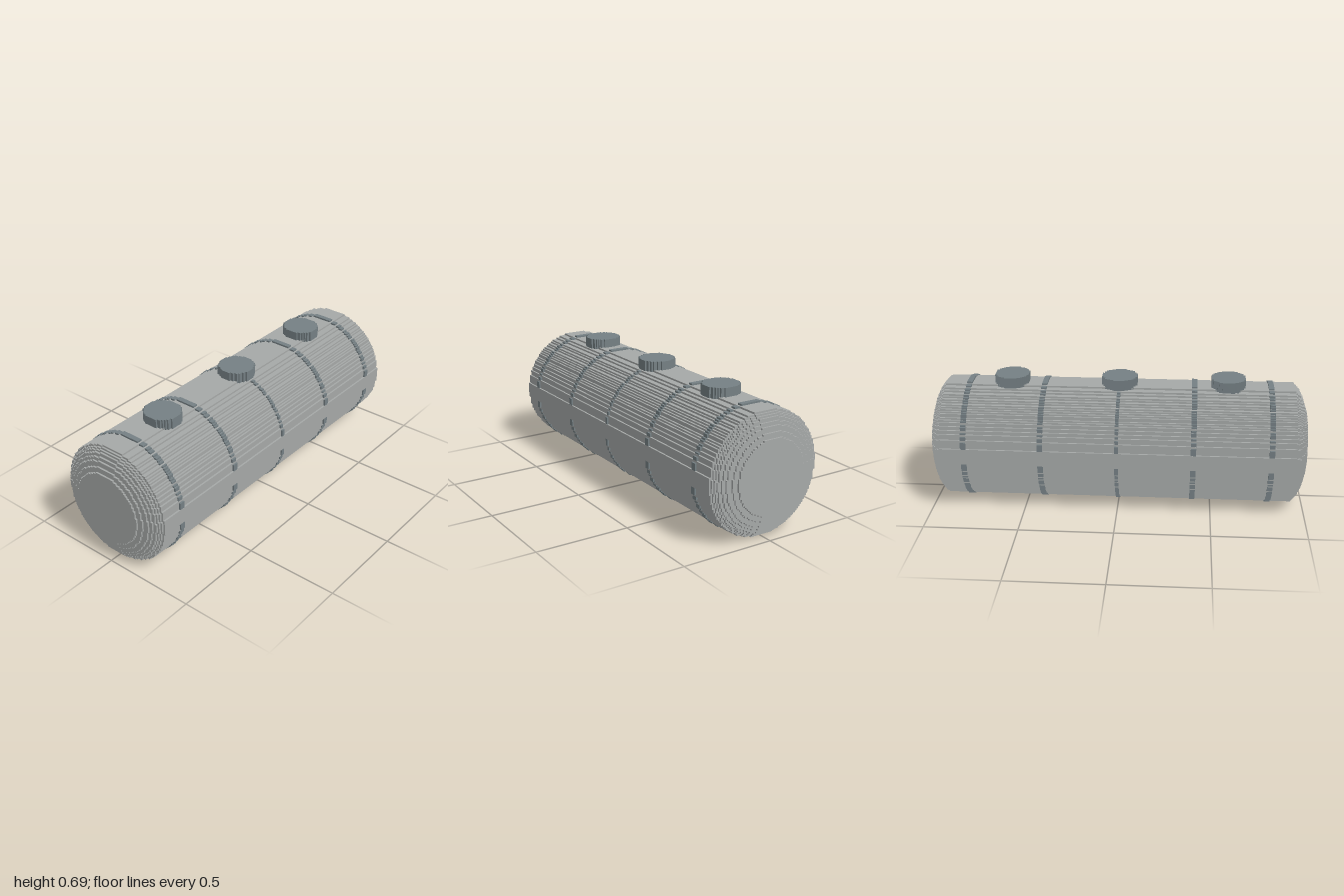
import * as THREE from 'three';

const V = 2 / 212;      // edge of one block
const AXIS_Y = 34.5;    // height of the tank axis, in blocks

// Stair-stepped disc: columns along x at whole (odd) or half (even) positions
function steppedDisc(radius, odd) {
  const start = odd ? 0 : 0.5;
  const last = start + Math.floor(radius - start);
  const upper = [];
  for (let u = -last; u <= last; u++) {
    const h = Math.floor(Math.sqrt(radius * radius - u * u) + 0.5);
    if (h < 1) continue;
    const prev = upper[upper.length - 1];
    if (prev && prev.y === h) prev.x = u + 0.5;
    else upper.push(new THREE.Vector2(u - 0.5, h), new THREE.Vector2(u + 0.5, h));
  }
  const lower = upper.map((p) => new THREE.Vector2(p.x, -p.y)).reverse();
  return new THREE.Shape([...upper, ...lower]);
}

function steppedCylinder(radius, length, odd) {
  return new THREE.ExtrudeGeometry(steppedDisc(radius, odd), {
    depth: length, bevelEnabled: false, steps: 1,
  });
}

// Stepped cylinder lying along x, centred on its own middle
function lyingCylinder(radius, length) {
  return steppedCylinder(radius, length, true)
    .translate(0, 0, -length / 2)
    .rotateZ(Math.PI / 2)
    .rotateY(Math.PI / 2);
}

export function createModel() {
  const tankGrey = new THREE.MeshStandardMaterial({ color: 0xa6a9a8 });
  tankGrey.name = 'tankGrey';
  const fittingGrey = new THREE.MeshStandardMaterial({ color: 0x758084 });
  fittingGrey.name = 'fittingGrey';

  const model = new THREE.Group();
  model.name = 'storageTank';
  const add = (parent, name, geometry, material, x, y) => {
    const mesh = new THREE.Mesh(geometry, material);
    mesh.name = name;
    mesh.position.set(x, y, 0);
    parent.add(mesh);
    return mesh;
  };

  const blocks = new THREE.Group();
  blocks.name = 'blocks';
  blocks.scale.setScalar(V);
  model.add(blocks);

  // Tank body, with nested narrower layers making the domed ends
  add(blocks, 'tankBody', lyingCylinder(33.8, 198), tankGrey, 0, AXIS_Y);
  const domeRadii = [32.7, 31.7, 30.6, 28.7, 26.8, 23.8, 20.8];
  domeRadii.forEach((r, i) => {
    add(blocks, 'domeLayer' + (i + 1), lyingCylinder(r, 200 + 2 * i), tankGrey, 0, AXIS_Y);
  });

  // Hoops, a hair smaller so the body shows where both are flush
  for (const [x, width] of [[-85.5, 3], [-42.5, 3], [0, 2], [42.5, 3], [85.5, 3]]) {
    const hoop = add(blocks, 'hoop', lyingCylinder(34.45, width), fittingGrey, x, AXIS_Y);
    hoop.scale.set(1, 0.999, 0.999);
  }

  // Round hatches along the top
  for (const [x, odd] of [[-61.5, true], [0, false], [61.5, true]]) {
    const hatch = steppedCylinder(9.97, 7, odd).rotateX(-Math.PI / 2);
    add(blocks, 'hatch', hatch, fittingGrey, x, 66);
  }

  return model;
}
